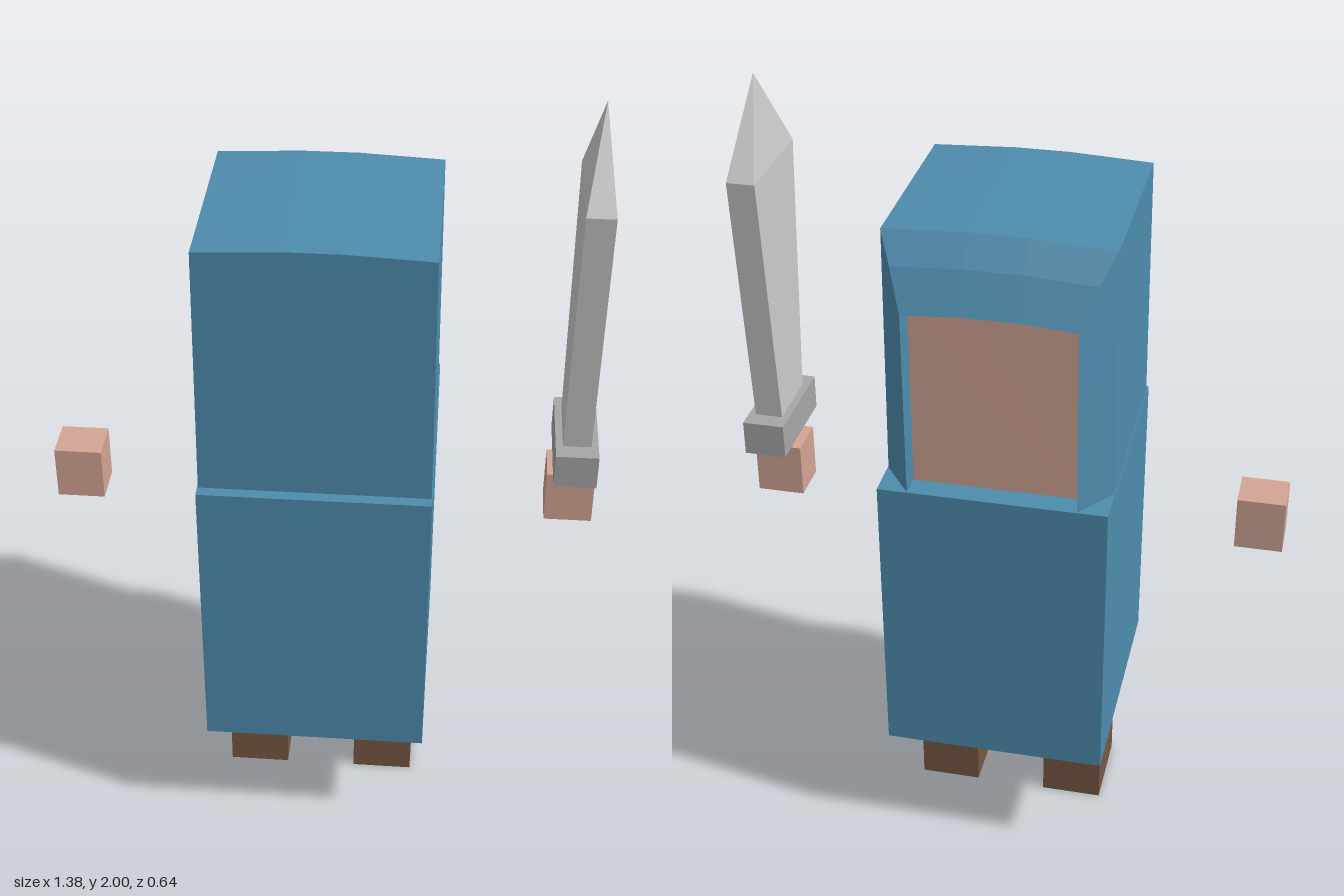
import * as THREE from 'three';

const mat = (name, color) => new THREE.MeshStandardMaterial({ name, color, flatShading: true });

export function createModel() {
  const group = new THREE.Group();
  const cloth = mat('blue cloth', 0x4e8cad);
  const skin = mat('skin', 0xd3a595);
  const leather = mat('brown leather', 0x765842);
  const steel = mat('blade steel', 0xcbcbcb);
  const iron = mat('guard iron', 0xa6a6a6);

  const add = (name, geometry, material, x = 0, y = 0, z = 0, parent = group) => {
    const mesh = new THREE.Mesh(geometry, material);
    mesh.name = name;
    mesh.position.set(x, y, z);
    parent.add(mesh);
    return mesh;
  };
  const box = (w, h, d) => new THREE.BoxGeometry(w, h, d);

  // Robe
  add('robe', box(0.57, 0.785, 0.63), cloth, 0, 0.6925, 0.005);

  // Hood: arched sections from front to rim, then folded inward to the face
  const base = 1.085;
  const sections = [ // z at top, z at base, half width at top, at base, height
    [0.29, 0.29, 0.277, 0.283, 1.745],
    [-0.21, -0.21, 0.277, 0.283, 1.745],
    [-0.268, -0.258, 0.243, 0.247, 1.68],
    [-0.32, -0.308, 0.208, 0.21, 1.585],
    [-0.26, -0.25, 0.206, 0.208, 1.58],
  ].map(([z, zb, w, wb, y]) => [
    [-wb, base, zb], [-w, y - 0.01, z], [-0.07, y, z],
    [0.07, y, z], [w, y - 0.01, z], [wb, base, zb],
  ]);
  const points = [];
  const fan = (loop) => {
    for (let i = 1; i < loop.length - 1; i++) points.push(loop[0], loop[i], loop[i + 1]);
  };
  for (let s = 0; s < sections.length - 1; s++) {
    const a = sections[s], b = sections[s + 1];
    for (let i = 0; i < a.length - 1; i++) {
      points.push(a[i], a[i + 1], b[i], a[i + 1], b[i + 1], b[i]);
    }
  }
  fan([...sections[0]].reverse());
  const clothCount = points.length;
  fan(sections[sections.length - 1]); // the bare face inside the hood
  const hood = new THREE.BufferGeometry();
  hood.setAttribute('position', new THREE.Float32BufferAttribute(points.flat(), 3));
  hood.addGroup(0, clothCount, 0);
  hood.addGroup(clothCount, points.length - clothCount, 1);
  hood.computeVertexNormals();
  add('hood and face', hood, [cloth, skin]);

  // Floating hands and feet
  for (const [side, s] of [['left', 1], ['right', -1]]) {
    add(side + ' hand', box(0.121, 0.14, 0.11), skin, s * 0.629, 0.935, 0.003);
    add(side + ' foot', box(0.158, 0.18, 0.214), leather, s * 0.172, 0.09, 0.007);
  }

  // Sword held upright in the left hand
  const sword = new THREE.Group();
  sword.name = 'sword';
  sword.position.set(0.634, 0, 0.001);
  group.add(sword);
  add('grip', box(0.04, 0.05, 0.08), iron, 0, 1.01, 0, sword);
  add('guard', box(0.106, 0.09, 0.264), iron, 0, 1.07, 0, sword);

  // Blade widens toward the top and ends in a four-sided point
  const blade = box(0.07, 0.665, 1);
  const pos = blade.attributes.position;
  for (let i = 0; i < pos.count; i++) {
    const top = pos.getY(i) > 0;
    pos.setZ(i, Math.sign(pos.getZ(i)) * (top ? 0.143 : 0.085));
  }
  blade.computeVertexNormals();
  add('blade', blade, steel, 0, 1.4475, 0, sword);

  const tip = new THREE.ConeGeometry(Math.SQRT1_2, 0.22, 4, 1, true);
  tip.rotateY(Math.PI / 4);
  tip.scale(0.07, 1, 0.286);
  add('blade tip', tip, steel, 0, 1.89, 0, sword);

  return group;
}
